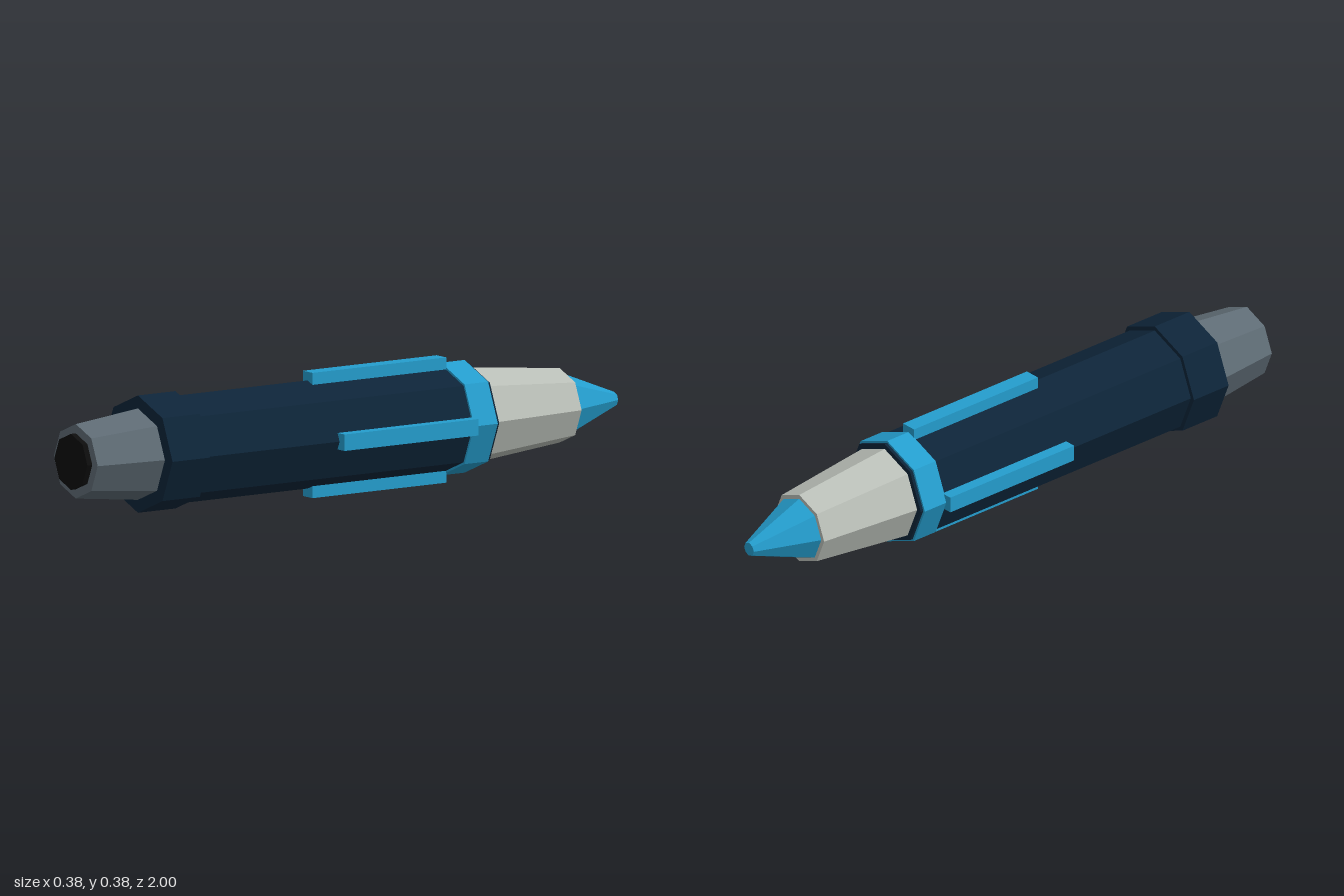
import * as THREE from 'three';

const material = (name, color) => {
  const m = new THREE.MeshStandardMaterial({ color, flatShading: true });
  m.name = name;
  return m;
};

export function createModel() {
  const navy = material('navy', 0x0d2438);
  const blue = material('bright blue', 0x249dcd);
  const bone = material('pale grey', 0xb9beb7);
  const steel = material('steel grey', 0x5e6b74);
  const black = material('black', 0x0d0d0d);

  const group = new THREE.Group();
  group.name = 'octagonalPen';
  const axisY = 0.19;

  // Octagonal section along z, from the back end to the front end
  const section = (name, mat, zBack, zFront, rBack, rFront = rBack) => {
    const geo = new THREE.CylinderGeometry(rFront, rBack, zFront - zBack, 8);
    geo.rotateX(Math.PI / 2);
    const mesh = new THREE.Mesh(geo, mat);
    mesh.name = name;
    mesh.position.set(0, axisY, (zBack + zFront) / 2);
    group.add(mesh);
  };

  section('tip', blue, -1, -0.8, 0.022, 0.1);
  section('nose', bone, -0.8, -0.455, 0.113, 0.148);
  section('body', navy, -0.46, 0.62, 0.164);
  section('accentRing', blue, -0.45, -0.363, 0.171);
  section('collar', navy, 0.615, 0.753, 0.178);
  section('endCap', steel, 0.75, 0.982, 0.139, 0.113);
  section('endPlug', black, 0.975, 1, 0.085);

  // Four raised strips around the body
  ['rightwardStrip', 'topStrip', 'leftwardStrip', 'bottomStrip'].forEach((_, i) => {
    const a = (i * Math.PI) / 2;
    const strip = new THREE.Mesh(new THREE.BoxGeometry(0.05, 0.05, 0.493), blue);
    strip.name = ['leftStrip', 'topStrip', 'rightStrip', 'bottomStrip'][i];
    strip.position.set(0.165 * Math.cos(a), axisY + 0.165 * Math.sin(a), -0.1185);
    group.add(strip);
  });

  return group;
}
